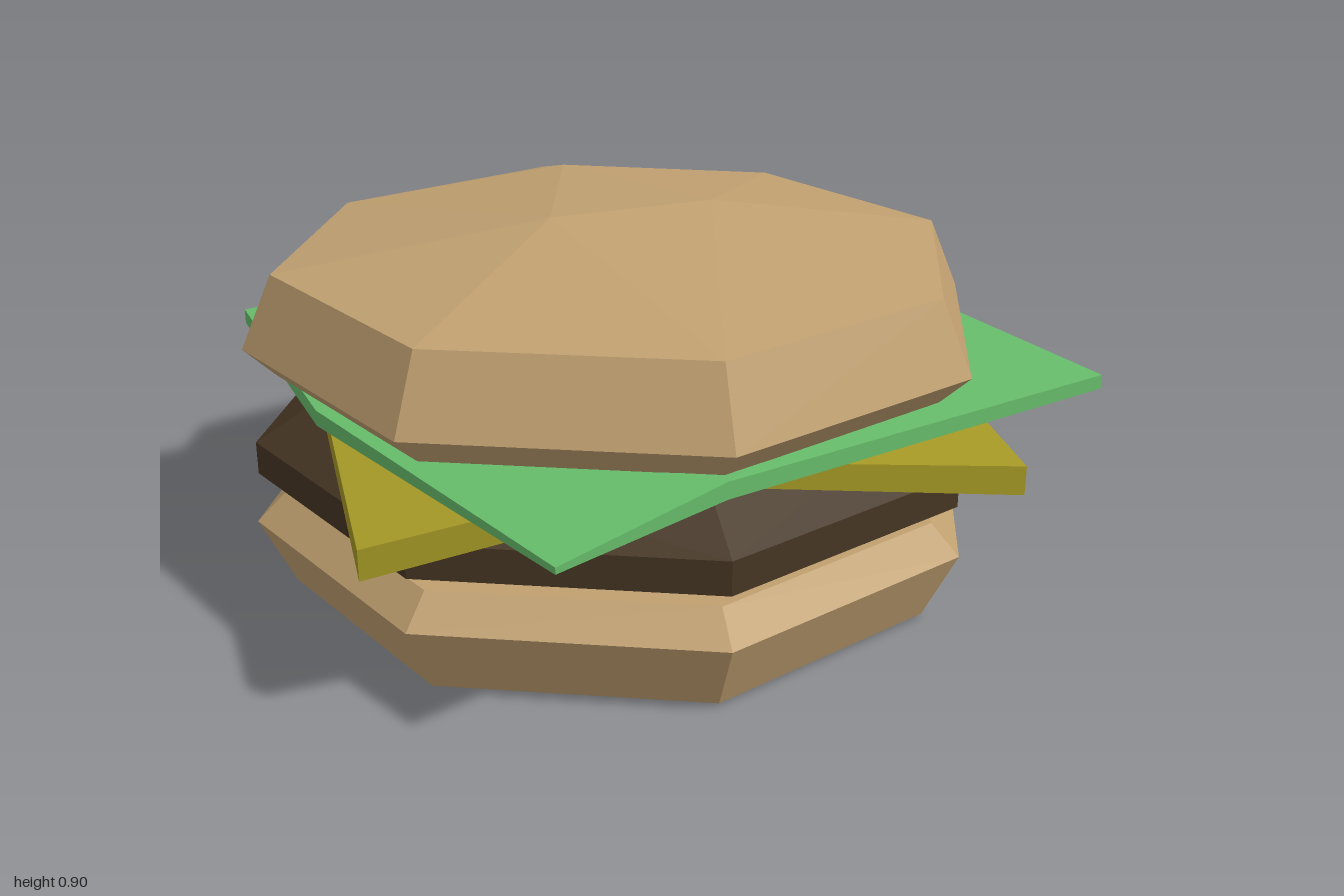
import * as THREE from 'three';
import { ConvexGeometry } from 'three/addons/geometries/ConvexGeometry.js';

const CX = -0.088; // shared axis of the stack
const CZ = -0.004;

const flat = (name, color) => {
  const m = new THREE.MeshStandardMaterial({ color, flatShading: true });
  m.name = name;
  return m;
};

// Eight-sided layer from [radius, y] rings, plus any extra hull points
function octagonLayer(name, rings, material, extra = []) {
  const points = extra.map((p) => new THREE.Vector3(...p));
  for (const [r, y] of rings) {
    for (let i = 0; i < 8; i++) {
      const a = (i * Math.PI) / 4;
      points.push(new THREE.Vector3(CX + r * Math.cos(a), y, CZ + r * Math.sin(a)));
    }
  }
  const mesh = new THREE.Mesh(new ConvexGeometry(points), material);
  mesh.name = name;
  return mesh;
}

// Draped slice: rim of 8 points [x, z, bottom, top], counterclockwise from above,
// corners at even indices and edge folds at odd indices
function slice(name, rim, material) {
  const pos = [];
  const low = rim.map(([x, z, b]) => [x, b, z]);
  const high = rim.map(([x, z, , t]) => [x, t, z]);
  const tri = (a, b, c) => pos.push(...a, ...b, ...c);
  // four drooping corners and the raised middle, top and underside
  for (const [a, b, c] of [[7, 0, 1], [1, 2, 3], [3, 4, 5], [5, 6, 7], [1, 3, 5], [1, 5, 7]]) {
    tri(high[a], high[b], high[c]);
    tri(low[a], low[c], low[b]);
  }
  // outer wall
  for (let i = 0; i < 8; i++) {
    const j = (i + 1) % 8;
    tri(low[i], low[j], high[j]);
    tri(low[i], high[j], high[i]);
  }
  const geo = new THREE.BufferGeometry();
  geo.setAttribute('position', new THREE.Float32BufferAttribute(pos, 3));
  geo.computeVertexNormals();
  const mesh = new THREE.Mesh(geo, material);
  mesh.name = name;
  return mesh;
}

export function createModel() {
  const bun = flat('bun', 0xc0a070);
  const meat = flat('meat', 0x453522);
  const cheese = flat('cheese', 0xa39725);
  const leaf = flat('lettuce', 0x66bb6a);
  const group = new THREE.Group();
  group.name = 'burger';

  // Buns and patty
  group.add(octagonLayer('bottomBun', [[0.82, 0.01], [0.902, 0.18], [0.83, 0.25]], bun, [[0.49, 0, -0.58]]));
  group.add(octagonLayer('patty', [[0.74, 0.25], [0.89, 0.305], [0.89, 0.385], [0.74, 0.475]], meat));
  group.add(octagonLayer('topBun', [[0.83, 0.55], [0.902, 0.62], [0.825, 0.795]], bun,
    [[-0.27, 0.9, 0.07], [0.14, 0.9, 0.02], [-0.09, 0.862, -0.57]]));

  // Cheese slice, corners hanging over the patty
  const h = 0.735;
  const square = [[1, 1], [1, 0], [1, -1], [0, -1], [-1, -1], [-1, 0], [-1, 1], [0, 1]];
  group.add(slice('cheeseSlice', square.map(([x, z]) =>
    (x && z ? [CX + h * x, h * z, 0.37, 0.44] : [CX + h * x, h * z, 0.483, 0.54])), cheese));

  // Lettuce leaf, twisted on top of the cheese
  group.add(slice('lettuceLeaf', [
    [0.99, 0.45, 0.48, 0.515], [0.81, 0, 0.515, 0.552],
    [0.41, -1, 0.48, 0.515], [-0.09, -0.85, 0.515, 0.552],
    [-0.96, -0.57, 0.493, 0.53], [-0.85, 0.25, 0.515, 0.552],
    [-0.48, 1, 0.47, 0.485], [-0.09, 0.86, 0.512, 0.552],
  ], leaf));

  return group;
}
